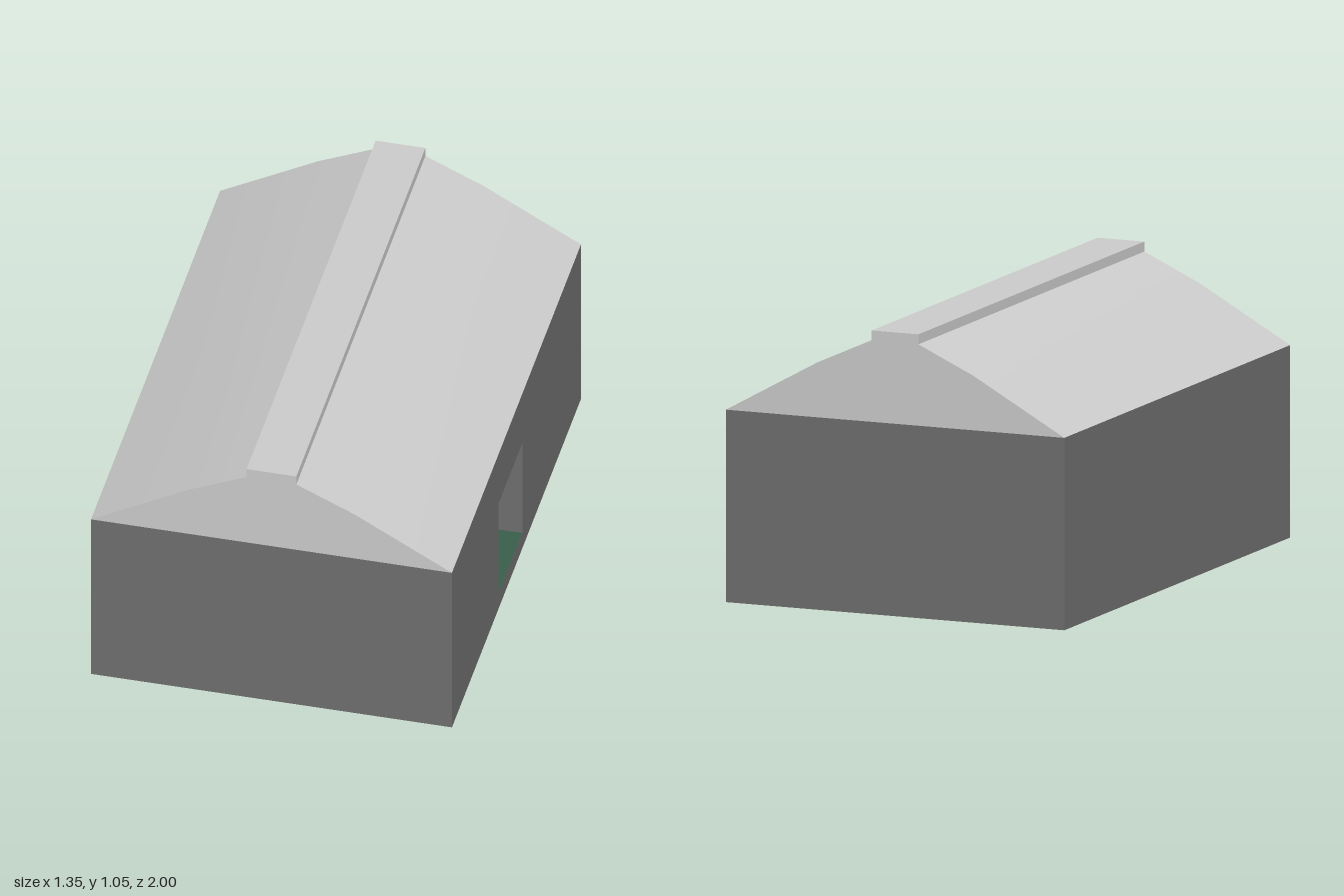
import * as THREE from 'three';
import { toCreasedNormals } from 'three/addons/utils/BufferGeometryUtils.js';

const W = 0.675, L = 1, EAVE = 0.712, T = 0.12, FLOOR = 0.07;
const DOOR = { back: -0.09, front: 0.28, top: 0.485 };

const wallMat = new THREE.MeshStandardMaterial({ color: 0x6f6f6f });
const roofMat = new THREE.MeshStandardMaterial({ color: 0xcccccc });
const floorMat = new THREE.MeshStandardMaterial({ color: 0x3a5e4b });

// Right half of the roof, eave to ridge cap, outside and underside
const OUTER = [[W, EAVE], [0.31, 0.915], [0.093, 1.013], [0.093, 1.05]];
const INNER = [[W - 0.035, EAVE], [0.31, 0.893], [0.075, 1.0], [0.075, 1.032]];

const mirrored = (half) => [...half, ...half.map(([x, y]) => [-x, y]).reverse()];
const toShape = (pts) => new THREE.Shape(pts.map(([x, y]) => new THREE.Vector2(x, y)));

function extrude(shape, depth) {
  const geo = new THREE.ExtrudeGeometry(shape, { depth, bevelEnabled: false });
  return toCreasedNormals(geo, 0.2);
}

export function createModel() {
  const model = new THREE.Group();
  const add = (name, geo, mat, x = 0, y = 0, z = 0) => {
    const mesh = new THREE.Mesh(geo, mat);
    mesh.name = name;
    mesh.position.set(x, y, z);
    model.add(mesh);
    return mesh;
  };

  // Floor slab with a green finish that runs through the doorway
  const inX = 2 * (W - T), inZ = 2 * (L - T);
  add('floorSlab', new THREE.BoxGeometry(inX, FLOOR - 0.004, inZ), wallMat, 0, (FLOOR - 0.004) / 2, 0);
  const floor = add('floor', new THREE.PlaneGeometry(inX, inZ), floorMat, 0, FLOOR, 0);
  floor.rotation.x = -Math.PI / 2;
  const sill = add('doorSill', new THREE.PlaneGeometry(T, DOOR.front - DOOR.back), floorMat,
    W - T / 2, FLOOR + 0.001, (DOOR.front + DOOR.back) / 2);
  sill.rotation.x = -Math.PI / 2;

  // Blank side wall
  add('rightWall', new THREE.BoxGeometry(T, EAVE, 2 * L), wallMat, -W + T / 2, EAVE / 2, 0);

  // Side wall with the door opening
  const wall = toShape([[-L, 0], [L, 0], [L, EAVE], [-L, EAVE]]);
  wall.holes.push(toShape([
    [-DOOR.front, FLOOR], [-DOOR.front, DOOR.top], [-DOOR.back, DOOR.top], [-DOOR.back, FLOOR],
  ]));
  add('leftWall', extrude(wall, T), wallMat, W - T, 0, 0).rotation.y = Math.PI / 2;

  // End walls, each with a gable and its inner lining
  const gable = toShape(mirrored(INNER));
  for (const [side, s] of [['front', 1], ['back', -1]]) {
    add(side + 'Wall', new THREE.BoxGeometry(inX, EAVE, T), wallMat, 0, EAVE / 2, s * (L - T / 2));
    add(side + 'Gable', extrude(gable, 0.1), roofMat, 0, 0, s * (L - 0.05) - 0.05);
    add(side + 'GableLining', extrude(gable, 0.02), wallMat, 0, 0, s * (L - 0.11) - 0.01);
  }

  // Roof shell with the raised ridge cap
  const shell = toShape([...mirrored(OUTER), ...mirrored(INNER).reverse()]);
  add('roof', extrude(shell, 2 * L), roofMat, 0, 0, -L);

  return model;
}
